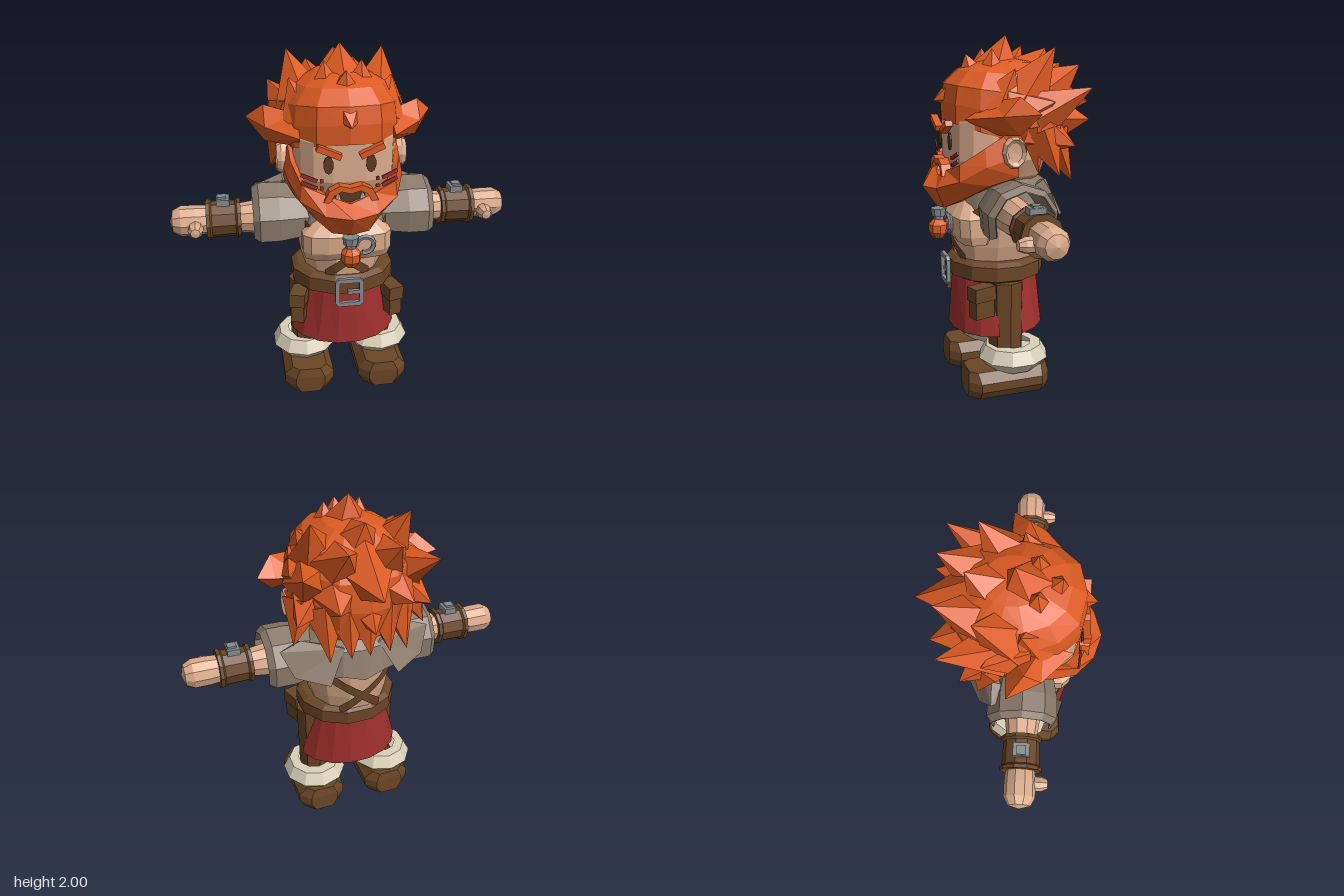
import * as THREE from 'three';

const mat = (name, color) => new THREE.MeshStandardMaterial({ name, color, flatShading: true, side: THREE.DoubleSide });
const M = {
  hair: mat('orange hair', 0xdc5b22), skin: mat('skin', 0xdbab8b), brown: mat('brown leather', 0x6b4626),
  cloth: mat('grey brown cloth', 0x8a7a6b), red: mat('red cloth', 0x9e2f2c), fur: mat('cream fur', 0xd9d0b8),
  metal: mat('grey metal', 0x858a90), eye: mat('dark brown', 0x573a20),
};
const TAU = Math.PI * 2;

// Elliptic ring, from the front towards +x; a power below 1 makes it boxier
function ring(y, rx, rz, cz = 0, n = 12, power = 1) {
  const p = (v) => Math.sign(v) * Math.abs(v) ** power;
  return Array.from({ length: n }, (_, i) => {
    const a = ((i + 0.5) / n) * TAU;
    return [rx * p(Math.sin(a)), y, cz + rz * p(Math.cos(a))];
  });
}
function fromTriangles(tris) {
  const g = new THREE.BufferGeometry();
  g.setAttribute('position', new THREE.Float32BufferAttribute(tris.flat(2), 3));
  g.computeVertexNormals();
  return g;
}
// Skin through rings of equal length, with flat ends unless left open
function loft(rings, capped = true) {
  const tris = [], n = rings[0].length;
  for (let k = 0; k < rings.length - 1; k++)
    for (let i = 0; i < n; i++) {
      const j = (i + 1) % n, a = rings[k], b = rings[k + 1];
      tris.push([a[i], a[j], b[j]], [a[i], b[j], b[i]]);
    }
  const first = rings[0], last = rings[rings.length - 1];
  for (let i = 1; capped && i < n - 1; i++) {
    tris.push([last[0], last[i], last[i + 1]], [first[0], first[i + 1], first[i]]);
  }
  return fromTriangles(tris);
}
// Open sheet from a rule of u, v in 0..1
function sheet(f, nu, nv) {
  const tris = [];
  for (let i = 0; i < nu; i++)
    for (let j = 0; j < nv; j++) {
      const a = f(i / nu, j / nv), b = f((i + 1) / nu, j / nv);
      const c = f((i + 1) / nu, (j + 1) / nv), d = f(i / nu, (j + 1) / nv);
      tris.push([a, b, c], [a, c, d]);
    }
  return fromTriangles(tris);
}
function mirrored(geo) {
  const g = geo.clone().scale(-1, 1, 1), p = g.attributes.position;
  for (let i = 0; i < p.count; i += 3) {
    const b = [p.getX(i + 1), p.getY(i + 1), p.getZ(i + 1)];
    p.setXYZ(i + 1, p.getX(i + 2), p.getY(i + 2), p.getZ(i + 2));
    p.setXYZ(i + 2, ...b);
  }
  g.computeVertexNormals();
  return g;
}
const box = (w, h, d, x, y, z, tilt = 0, turn = 0) =>
  new THREE.BoxGeometry(w, h, d).rotateZ(tilt).rotateY(turn).translate(x, y, z);
const lathe = (pts, n) => new THREE.LatheGeometry(pts.map(([r, y]) => new THREE.Vector2(r, y)), n);
// Turned part lying along the arm
const armPart = (pts, n = 10) => lathe(pts, n).rotateZ(-Math.PI / 2).translate(0, 1.05, 0.075);
const shapeOf = (pts) => new THREE.Shape(pts.map(([x, y]) => new THREE.Vector2(x, y)));
const extrude = (shape, depth) => new THREE.ExtrudeGeometry(shape, { depth, bevelEnabled: false });
// Pointed lock of hair
function spike(bx, by, bz, tx, ty, tz, r, n = 5) {
  const b = new THREE.Vector3(bx, by, bz), d = new THREE.Vector3(tx, ty, tz).sub(b), len = d.length();
  const q = new THREE.Quaternion().setFromUnitVectors(new THREE.Vector3(0, 1, 0), d.normalize());
  return new THREE.ConeGeometry(r, len, n).translate(0, len / 2, 0).applyQuaternion(q).translate(bx, by, bz);
}

export function createModel() {
  const model = new THREE.Group();
  model.name = 'dwarfFighter';
  const add = (name, geo, material) => {
    const g = geo.index ? geo.toNonIndexed() : geo;
    g.computeVertexNormals();
    const mesh = new THREE.Mesh(g, material);
    mesh.name = name;
    model.add(mesh);
    return g;
  };
  const pair = (name, geo, material) => add(name + 'Right', mirrored(add(name + 'Left', geo, material)), material);

  // Boots, fur cuffs and legs
  const sole = (y, hx, hz, c = 0.06) => [[c - hx, hz], [hx - c, hz], [hx, hz - c], [hx, c - hz],
    [hx - c, -hz], [c - hx, -hz], [-hx, c - hz], [-hx, hz - c]].map(([x, z]) => [0.22 + x, y, 0.09 + z]);
  pair('boot', loft([sole(0, 0.115, 0.24), sole(0.05, 0.145, 0.24), sole(0.1, 0.145, 0.24), sole(0.153, 0.1, 0.23, 0.04)]), M.brown);
  pair('furCuff', lathe([[0.1, 0.15], [0.14, 0.135], [0.2, 0.2], [0.16, 0.272], [0.1, 0.275]], 10).scale(0.96, 1, 1.02).translate(0.225, 0, 0.04), M.fur);
  pair('leg', new THREE.CylinderGeometry(0.105, 0.1, 0.45, 8).translate(0.205, 0.425, 0.08), M.brown);

  // Trousers and the two skirt panels
  add('trousers', loft([ring(0.38, 0.26, 0.2, 0.08), ring(0.5, 0.255, 0.22, 0.08), ring(0.7, 0.23, 0.22, 0.08)]), M.brown);
  const panel = (mid) => (u, v) => {
    const a = mid + (u - 0.5) * 2.65, s = 0.24 + 0.075 * v;
    return [s * Math.sin(a), 0.66 - v * (0.31 + 0.01 * Math.cos(a)), 0.08 + (0.25 + 0.025 * v) * Math.cos(a)];
  };
  add('skirtFront', sheet(panel(0), 7, 1), M.red);
  add('skirtBack', sheet(panel(Math.PI), 7, 1), M.red);

  // Torso with chest
  add('torso', loft([ring(0.72, 0.21, 0.24, 0.07), ring(0.85, 0.25, 0.265, 0.065), ring(1, 0.275, 0.275, 0.055),
    ring(1.12, 0.25, 0.24, 0.05), ring(1.25, 0.14, 0.15, 0.04)]), M.skin);
  add('chest', loft([ring(0.87, 0.235, 0.09, 0.24, 12, 0.6), ring(0.92, 0.25, 0.12, 0.24, 12, 0.6),
    ring(1.02, 0.25, 0.125, 0.24, 12, 0.6), ring(1.11, 0.14, 0.08, 0.22, 12, 0.6)]), M.skin);

  // Crossed straps following the torso, front and back
  const strap = (mid) => (u, v) => {
    const a = mid + (u - 0.3) * 1.8, y = 0.73 + 0.36 * u + 0.065 * v, k = Math.min(1, (y - 0.72) / 0.25);
    return [(0.225 + 0.06 * k) * Math.sin(a), y, 0.06 + (0.26 + 0.032 * k) * Math.cos(a)];
  };
  pair('frontStrap', sheet(strap(0), 8, 1), M.brown);
  pair('backStrap', sheet(strap(Math.PI), 8, 1), M.brown);

  // Belt, buckle and pouches
  add('belt', loft([ring(0.65, 0.27, 0.25, 0.08), ring(0.665, 0.298, 0.28, 0.08), ring(0.745, 0.298, 0.28, 0.08),
    ring(0.765, 0.265, 0.25, 0.08)]), M.brown);
  const frame = shapeOf([[-0.06, -0.085], [0.06, -0.085], [0.08, -0.065], [0.08, 0.065], [0.06, 0.085], [-0.06, 0.085], [-0.08, 0.065], [-0.08, -0.065]]);
  frame.holes.push(shapeOf([[-0.055, -0.06], [-0.055, 0.06], [0.055, 0.06], [0.055, -0.06]]));
  add('buckleFrame', extrude(frame, 0.022).translate(0, 0.69, 0.367), M.metal);
  add('bucklePin', box(0.08, 0.022, 0.022, 0.03, 0.69, 0.376), M.metal);
  pair('pouch', box(0.075, 0.16, 0.12, 0.268, 0.55, 0.24, 0, 0.3), M.brown);
  pair('pouchFlap', box(0.09, 0.08, 0.135, 0.268, 0.61, 0.24, 0, 0.3), M.brown);

  // Arms, bracers and hands
  pair('arm', armPart([[0, 0.2], [0.11, 0.22], [0.1, 0.45], [0.08, 0.6], [0, 0.61]]), M.skin);
  pair('bracer', armPart([[0, 0.57], [0.11, 0.57], [0.112, 0.59], [0.1, 0.6], [0.103, 0.73], [0.115, 0.74], [0.115, 0.76], [0, 0.76]]), M.brown);
  pair('bracerClasp', box(0.072, 0.035, 0.09, 0.665, 1.16, 0.075), M.metal);
  pair('claspBar', box(0.05, 0.015, 0.05, 0.67, 1.182, 0.075), M.metal);
  pair('hand', armPart([[0, 0.75], [0.08, 0.75], [0.086, 0.82], [0.086, 0.9], [0.062, 0.945], [0, 0.962]]), M.skin);
  pair('thumb', lathe([[0, 0], [0.042, 0], [0.042, 0.11], [0.027, 0.145], [0, 0.15]], 8)
    .rotateX(Math.PI / 2).translate(0.82, 1.035, 0.08), M.skin);

  // Mantle flaring over the back, open under the beard, with thick sleeves
  add('mantle', sheet((u, v) => {
    const a = (0.05 + 0.9 * u) * TAU, c = Math.cos(a), k = Math.round(v * 2);
    const y = [1.04 - 0.03 * (Math.round(u * 14) % 2), 1.18, 1.26][k];
    return [[0.31, 0.28, 0.16][k] * Math.sin(a), y, 0.03 + [c > 0 ? 0.31 : 0.295, 0.255, 0.15][k] * c];
  }, 14, 2), M.cloth);
  const arch = (x, ro, ri) => {
    const pts = [], at = (r, i) => {
      const a = -0.4 + (i / 6) * (Math.PI + 0.8);
      return [x, 1.05 + r * Math.sin(a), 0.07 + r * Math.cos(a)];
    };
    for (let i = 0; i <= 6; i++) pts.push(at(ro, i));
    for (let i = 6; i >= 0; i--) pts.push(at(ri, i));
    return pts.reverse();
  };
  pair('sleeve', loft([arch(0.2, 0.17, 0.14), arch(0.36, 0.2, 0.165), arch(0.47, 0.2, 0.165), arch(0.505, 0.17, 0.165)], false), M.cloth);
  // Cloth bridging the back and the shoulders
  pair('shoulderFlap', loft([
    [[0.1, 1.19, -0.15], [0.32, 1.21, -0.05], [0.42, 1.17, -0.06], [0.36, 1.05, -0.13], [0.2, 1.02, -0.22]],
    [[0.1, 1.2, -0.2], [0.32, 1.24, -0.1], [0.44, 1.19, -0.1], [0.38, 1.05, -0.17], [0.2, 1.01, -0.26]],
  ]), M.cloth);

  // Bauble and ring on the chest
  add('baubleCap', new THREE.CylinderGeometry(0.046, 0.04, 0.045, 8).translate(0, 1.025, 0.41), M.metal);
  add('baubleNeck', new THREE.CylinderGeometry(0.03, 0.03, 0.05, 8).translate(0, 0.99, 0.41), M.metal);
  add('bauble', lathe([[0, 0.865], [0.03, 0.875], [0.055, 0.91], [0.055, 0.955], [0.03, 0.985], [0, 0.985]], 8).translate(0, 0, 0.415), M.hair);
  add('chestRing', new THREE.TorusGeometry(0.048, 0.014, 5, 12, 5.2).rotateZ(-2).translate(0.085, 0.975, 0.375), M.metal);

  // Head, ears and face
  add('head', loft([ring(1.16, 0.16, 0.16, 0.06, 16, 0.7), ring(1.24, 0.23, 0.25, 0.08, 16, 0.7), ring(1.34, 0.28, 0.28, 0.085, 16, 0.7),
    ring(1.55, 0.28, 0.28, 0.085, 16, 0.7), ring(1.7, 0.25, 0.25, 0.06, 16, 0.7)]), M.skin);
  pair('ear', lathe([[0, -0.1], [0.06, -0.1], [0.08, 0], [0.068, 0.025], [0.048, 0.01], [0, 0.005]], 10)
    .rotateZ(-Math.PI / 2).scale(1, 1.1, 0.85).translate(0.335, 1.395, 0.07), M.skin);
  pair('eye', new THREE.CylinderGeometry(0.027, 0.027, 0.008, 10).rotateX(Math.PI / 2).scale(1, 1.8, 1).translate(0.112, 1.44, 0.367), M.eye);
  pair('eyebrow', box(0.135, 0.032, 0.04, 0.112, 1.517, 0.385, 0.42), M.hair);
  for (const y of [1.375, 1.335]) {
    pair('cheekStripe', box(0.09, 0.02, 0.009, 0.213, y, 0.364, 0.4, 0.12), M.red);
    pair('cheekMark', box(0.018, 0.018, 0.009, 0.148, y - 0.02, 0.367), M.red);
  }
  add('mouth', extrude(shapeOf([[0, 1.22], [0.08, 1.245], [0.08, 1.31], [-0.08, 1.31], [-0.08, 1.245]]), 0.009).translate(0, 0, 0.367), M.eye);
  pair('fang', spike(0.066, 1.24, 0.385, 0.064, 1.305, 0.385, 0.02, 4), M.fur);
  pair('moustache', extrude(shapeOf([[0, 1.297], [0.05, 1.31], [0.088, 1.29], [0.11, 1.25], [0.145, 1.255], [0.115, 1.315], [0.06, 1.342], [0, 1.328]]), 0.055)
    .translate(0, 0, 0.365), M.hair);

  // Beard swept from ear to ear: inner top, outer top, middle, outer bottom, inner bottom
  const half = [
    [[0, 1.225, 0.34], [0, 1.235, 0.41], [0, 1.18, 0.5], [0, 1.06, 0.42], [0, 1.1, 0.3]],
    [[0.12, 1.27, 0.33], [0.13, 1.285, 0.395], [0.14, 1.19, 0.455], [0.1, 1.07, 0.4], [0.09, 1.1, 0.28]],
    [[0.22, 1.32, 0.29], [0.25, 1.33, 0.35], [0.26, 1.24, 0.355], [0.19, 1.13, 0.31], [0.17, 1.15, 0.24]],
    [[0.26, 1.41, 0.2], [0.295, 1.42, 0.22], [0.315, 1.32, 0.22], [0.275, 1.21, 0.19], [0.22, 1.2, 0.15]],
    [[0.26, 1.48, 0.12], [0.3, 1.48, 0.12], [0.335, 1.37, 0.05], [0.32, 1.26, 0.04], [0.24, 1.24, 0.02]],
  ];
  const flip = (s) => s.map(([x, y, z]) => [-x, y, z]);
  add('beard', loft([...half.slice(1).reverse().map(flip), ...half]), M.hair);

  // Hair cap, lower at the back
  add('hairCap', sheet((u, v) => {
    const a = u * TAU, c = Math.cos(a), s = Math.sin(a), hem = 1.55 - 0.125 * (1 - c);
    const r = Math.sin(Math.min(1, v * 1.35) * Math.PI / 2) * (v === 1 && c < 0.3 ? 0.9 : 1);
    return [0.33 * r * Math.sign(s) * Math.abs(s) ** 0.8, hem + (1.88 - hem) * Math.cos(v * Math.PI / 2), 0.385 * r * c * (c > 0 ? 1 : 0.9)];
  }, 14, 5), M.hair);

  // Locks: base, tip, radius
  const middle = [
    [0, 1.74, 0.08, 0, 2, 0.01, 0.2], [0, 1.7, -0.06, 0, 1.93, -0.23, 0.22], [0, 1.66, -0.14, 0, 1.62, -0.5, 0.22],
    [0, 1.52, -0.16, 0, 1.38, -0.4, 0.18], [0, 1.45, -0.22, 0, 1.21, -0.33, 0.12], [0, 1.68, 0.34, 0, 1.65, 0.43, 0.065],
    [0, 1.7, 0.18, 0, 1.9, 0.24, 0.16],
  ];
  const sides = [
    [0.09, 1.72, 0.12, 0.1, 1.93, 0.12, 0.14], [0.19, 1.64, 0, 0.27, 1.94, -0.18, 0.18],
    [0.2, 1.63, 0.12, 0.28, 1.83, 0.05, 0.15], [0.12, 1.64, -0.1, 0.14, 1.84, -0.38, 0.2], [0.25, 1.58, -0.08, 0.37, 1.73, -0.36, 0.15],
    [0.14, 1.55, -0.16, 0.2, 1.54, -0.42, 0.18], [0.24, 1.5, -0.08, 0.38, 1.42, -0.26, 0.16], [0.1, 1.46, -0.22, 0.11, 1.22, -0.34, 0.12],
    [0.2, 1.46, -0.17, 0.22, 1.2, -0.31, 0.12], [0.29, 1.48, -0.09, 0.38, 1.26, -0.17, 0.12], [0.29, 1.52, -0.04, 0.32, 1.27, -0.07, 0.09],
    [0.26, 1.6, 0.02, 0.38, 1.66, -0.14, 0.15],
  ];
  middle.forEach((s) => add('hairLock', spike(...s), M.hair));
  sides.forEach((s) => pair('hairLock', spike(...s), M.hair));

  // Broad side tufts above the ears
  const tuft = (x, y, hy, z, hz) => [[x, y, z + hz], [x, y - hy, z], [x, y, z - hz], [x, y + hy, z]];
  pair('sideTuft', loft([tuft(0.25, 1.57, 0.09, 0.16, 0.16), tuft(0.42, 1.595, 0.1, 0.07, 0.09), tuft(0.512, 1.61, 0.004, -0.01, 0.004)]), M.hair);
  return model;
}
